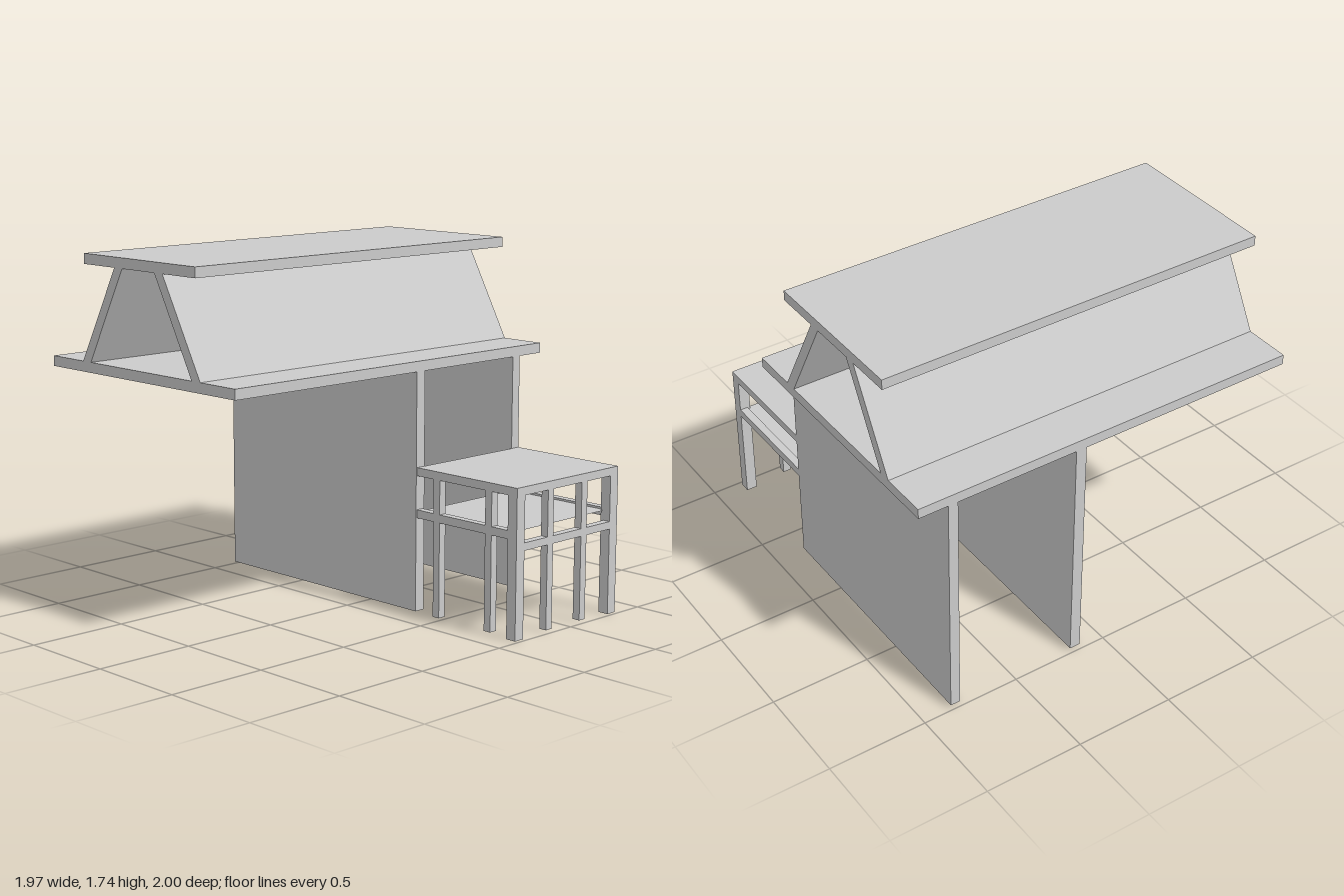
import * as THREE from 'three';

export function createModel() {
  const model = new THREE.Group();
  const material = new THREE.MeshStandardMaterial({ color: 0xcccccc, flatShading: true });

  // Box given by its extents along each axis
  function box(name, [x0, x1], [y0, y1], [z0, z1], parent = model) {
    const mesh = new THREE.Mesh(new THREE.BoxGeometry(x1 - x0, y1 - y0, z1 - z0), material);
    mesh.position.set((x0 + x1) / 2, (y0 + y1) / 2, (z0 + z1) / 2);
    mesh.name = name;
    parent.add(mesh);
  }

  // Lower deck, upper roof and the two supporting walls
  const wallX = [-0.985, 0.345];
  box('lowerDeck', wallX, [1.18, 1.23], [-1, 1]);
  box('upperRoof', [-0.725, 0.085], [1.69, 1.74], [-1, 1]);
  box('frontWall', wallX, [0.015, 1.18], [-0.18, -0.125]);
  box('backWall', wallX, [0.015, 1.18], [-0.85, -0.8]);

  // Sloping panels, mirrored about the centre line of the upper roof
  const centre = -0.32;
  for (const side of [-1, 1]) {
    const profile = new THREE.Shape([[0.37, 1.23], [0.43, 1.23], [0.175, 1.69], [0.117, 1.69]]
      .map(([x, y]) => new THREE.Vector2(centre + side * x, y)));
    const panel = new THREE.Mesh(
      new THREE.ExtrudeGeometry(profile, { depth: 2, bevelEnabled: false }), material);
    panel.position.z = -1;
    panel.name = side < 0 ? 'rightSlopingPanel' : 'leftSlopingPanel';
    model.add(panel);
  }

  // Side table attached to the ends of the walls
  const table = new THREE.Group();
  table.name = 'sideTable';
  model.add(table);
  const front = -0.13, back = -0.85, end = 0.98, start = 0.345;
  box('tableTop', [start, end], [0.68, 0.72], [back, front], table);

  // Corner legs
  box('frontCornerLeg', [0.925, end], [0, 0.68], [front - 0.055, front], table);
  box('backCornerLeg', [0.925, end], [0, 0.68], [back, back + 0.055], table);

  // Thin intermediate legs along the front and the outer side
  for (const x of [0.455, 0.785])
    box('frontLeg', [x, x + 0.04], [0.01, 0.68], [front - 0.04, front], table);
  for (const z of [-0.625, -0.385])
    box('sideLeg', [end - 0.04, end], [0.01, 0.68], [z, z + 0.04], table);

  // Rails
  box('frontRail', [start, 0.925], [0.475, 0.515], [front - 0.04, front], table);
  box('backRail', [start, 0.925], [0.475, 0.515], [back, back + 0.04], table);
  box('sideRail', [end - 0.04, end], [0.42, 0.457], [back + 0.055, front - 0.055], table);

  // Thin shelf between the rails
  const sheet = material.clone();
  sheet.side = THREE.DoubleSide;
  const shelf = new THREE.Mesh(new THREE.PlaneGeometry(0.595, 0.64), sheet);
  shelf.rotation.x = -Math.PI / 2;
  shelf.position.set(0.6425, 0.505, (front + back) / 2);
  shelf.name = 'shelf';
  table.add(shelf);

  return model;
}
